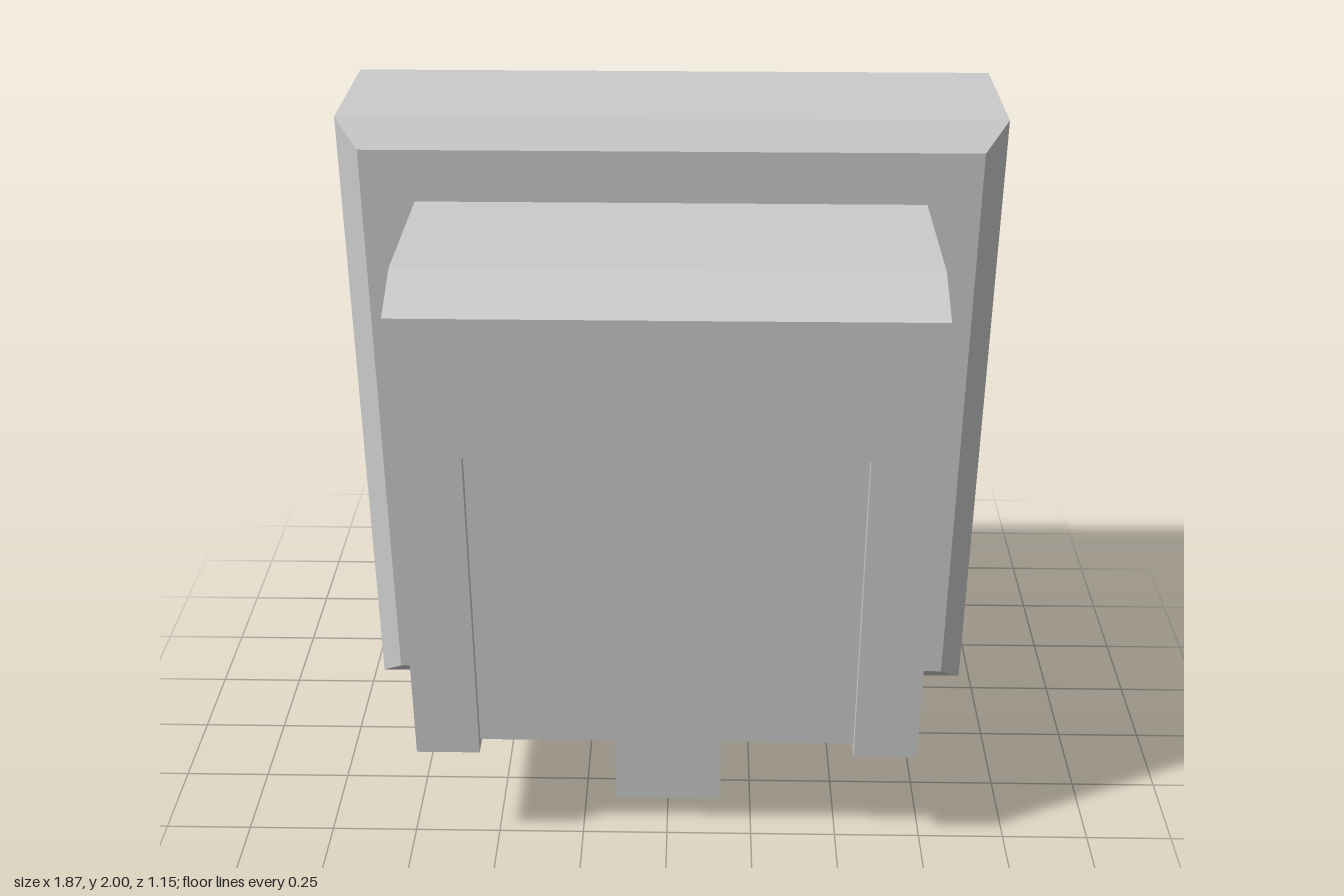
import * as THREE from 'three';

const material = new THREE.MeshStandardMaterial({
  color: 0xcccccc, flatShading: true, side: THREE.DoubleSide,
});

// Joins successive 3D sections (equal point counts) with quads
function loft(sections, closed = true) {
  const pos = [];
  const n = sections[0].length;
  for (let s = 0; s < sections.length - 1; s++) {
    const p = sections[s], q = sections[s + 1];
    for (let i = 0; i < (closed ? n : n - 1); i++) {
      const j = (i + 1) % n;
      pos.push(...p[i], ...p[j], ...q[j], ...p[i], ...q[j], ...q[i]);
    }
  }
  const g = new THREE.BufferGeometry();
  g.setAttribute('position', new THREE.Float32BufferAttribute(pos, 3));
  g.computeVertexNormals();
  return g;
}

// Counter-clockwise rectangle, half width w
const rect = (w, y0, y1) => [[-w, y0], [w, y0], [w, y1], [-w, y1]];
const atZ = (pts, z) => pts.map(([x, y]) => [x, y, z]);
const atY = (pts, y) => pts.map(([x, z]) => [x, y, z]);

// Flat sheet with optional hole, facing +z
function sheet(outline, hole) {
  const vec = (pts) => pts.map(([x, y]) => new THREE.Vector2(x, y));
  const shape = new THREE.Shape(vec(outline));
  if (hole) shape.holes.push(new THREE.Path(vec(hole)));
  return new THREE.ShapeGeometry(shape);
}
const upright = (z, outline, hole) => sheet(outline, hole).translate(0, 0, z);
const level = (y, outline, hole) => sheet(outline, hole).rotateX(Math.PI / 2).translate(0, y, 0);

export function createModel() {
  const model = new THREE.Group();
  const group = (name) => {
    const g = new THREE.Group();
    g.name = name;
    model.add(g);
    return (part, geometry) => {
      const mesh = new THREE.Mesh(geometry, material);
      mesh.name = part;
      g.add(mesh);
    };
  };

  // Main dimensions
  const back = -0.575, face = -0.06, front = 0.575, panelZ = 0.545;
  const W = 0.715, base = 0.35, top = 1.78;
  const N = 0.535, notchY = 0.375, notchTop = 1.31;

  // Square frame, open at the back, with a bevelled front edge
  const frame = group('frame');
  const outer = rect(0.935, 0.13, 2), inner = rect(0.865, 0.2, 1.93);
  frame('frameShell', loft([atZ(outer, back), atZ(outer, -0.135), atZ(inner, face)]));
  frame('framePlate', upright(face, inner, [
    [-W, base], [-N, base], [-N, notchY], [N, notchY], [N, base], [W, base], [W, top], [-W, top],
  ]));

  // Hollow housing with a sloped top front edge
  const housing = group('housing');
  const wrap = (y, z) => atZ([[N, base], [W, base], [W, y], [-W, y], [-W, base], [-N, base]], z);
  housing('housingShell', loft([wrap(top, face), wrap(top, 0.415), wrap(1.71, front)], false));
  housing('housingFront', upright(front, [
    [-W, base], [-N, base], [-N, notchTop], [N, notchTop], [N, base], [W, base], [W, 1.71], [-W, 1.71],
  ]));

  // Recessed panel and the raised floor behind it
  const recess = group('recess');
  const arch = [[-N, notchY], [-N, notchTop], [N, notchTop], [N, notchY]];
  recess('recessPanel', upright(panelZ, rect(N, notchY, notchTop)));
  recess('recessEdge', loft([atZ(arch, panelZ), atZ(arch, front)], false));
  const F = 0.16, f0 = 0.02, f1 = 0.34;
  recess('raisedFloor', level(notchY, rect(N, face, panelZ), rect(F, f0, f1)));
  for (const s of [-1, 1]) {
    const lip = [[s * N, base], [s * N, notchY]];
    recess('floorStep', loft([atZ(lip, face), atZ(lip, front)], false));
  }

  // Hollow square foot with a blind socket underneath
  const foot = group('foot');
  const tube = rect(F, f0, f1), socket = rect(0.1, 0.08, 0.28);
  foot('footTube', loft([atY(tube, notchY), atY(tube, 0)]));
  foot('footBase', level(0, tube, socket));
  foot('socketWall', loft([atY(socket, 0), atY(socket, 0.13)]));
  foot('socketCap', level(0.13, socket));

  return model;
}
